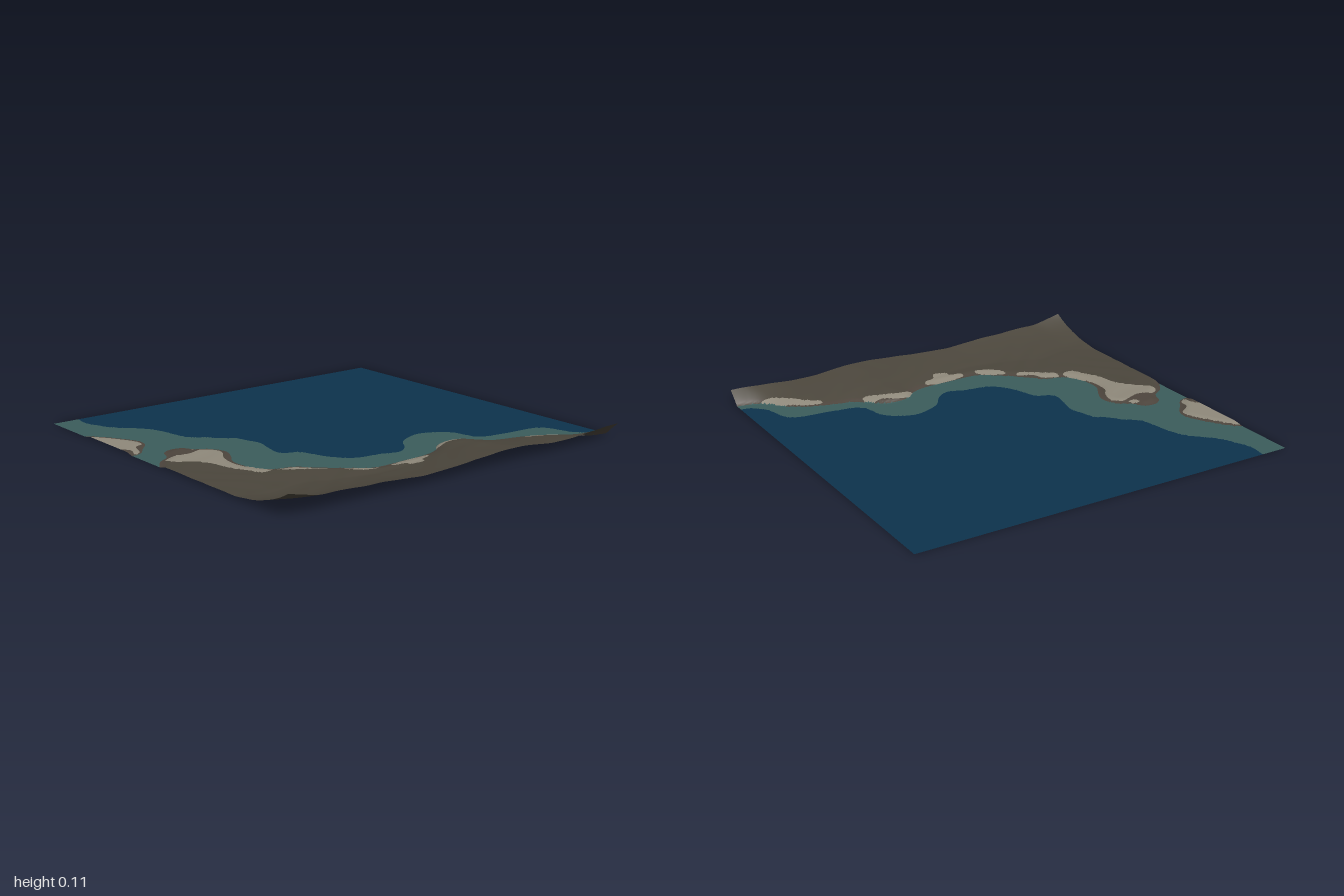
import * as THREE from 'three';

const HALF_X = 1, HALF_Z = 0.96, NX = 220, NZ = 212;

// Smooth outline through points given in hundredths of a unit (x, z pairs)
function outline(coords, closed = false) {
  const pts = [];
  for (let i = 0; i < coords.length; i += 2) pts.push(new THREE.Vector3(coords[i] / 100, 0, coords[i + 1] / 100));
  const curve = new THREE.CatmullRomCurve3(pts, closed, 'centripetal');
  const line = curve.getPoints(pts.length * 3).map((p) => [p.x, p.z]);
  return { line, area: line };
}

// Open coast whose area is closed along the borders of the sheet
function coast(coords, corners) {
  const o = outline(coords);
  return { line: o.line, area: [...o.line, ...corners] };
}

const shallowEdge = coast([
  -86, -96, -87, -87, -83, -76, -79, -69, -70, -60, -66, -51, -64, -40, -62, -33, -55, -27, -50, -21, -45, -17,
  -43, -10, -41, -3, -43, 6, -44, 17, -36, 21, -33, 29, -29, 38, -22, 45, -9, 47, 0, 50, 7, 46, 13, 38, 20, 34,
  28, 32, 37, 35, 43, 41, 47, 54, 62, 58, 80, 60, 85, 64, 89, 77, 95, 83, 100, 84,
], [[1.1, 1.1], [-1.1, 1.1], [-1.1, -1.1], [-0.86, -1.1]]);

const mainland = coast([
  -100, 1, -95, -6, -89, -10, -86, -17, -81, -20, -75, -19, -72, -14, -65, -9, -62, -1, -65, 7, -69, 14, -69, 23,
  -66, 31, -61, 36, -53, 38, -48, 43, -41, 50, -34, 56, -25, 62, -10, 62, 9, 61, 16, 58, 20, 54, 27, 52, 35, 53,
  42, 59, 47, 63, 59, 66, 68, 69, 78, 75, 85, 83, 91, 87, 100, 89,
], [[1.1, 1.1], [-1.1, 1.1], [-1.1, 0.01]]);

const island = coast(
  [-100, -66, -95, -61, -89, -52, -84, -41, -85, -35, -90, -29, -95, -23, -100, -22],
  [[-1.1, -0.22], [-1.1, -0.66]]);

const palePatches = [
  [-101, -64, -96, -59, -91, -51, -86, -41, -86, -36, -92, -32, -94, -25, -98, -23, -97, -28, -101, -34],
  [-93, -5, -88, -8, -80, -6, -74, -8, -69, -9, -65, -5, -66, 2, -70, 8, -71, 20, -68, 27, -64, 35, -64, 38,
    -70, 39, -74, 32, -78, 24, -80, 14, -85, 6, -93, -1],
  [-76, -14, -73, -14, -71, -11, -74, -11],
  [-61, 37, -53, 40, -50, 45, -43, 50, -44, 52, -50, 49, -57, 44, -61, 41],
  [-39, 55, -34, 57, -26, 63, -26, 66, -33, 64, -38, 59],
  [-18, 64, 5, 63, 4, 66, -2, 68, -4, 72, -11, 71, -12, 68, -18, 67],
  [17, 55, 27, 53, 34, 56, 40, 57, 43, 62, 40, 63, 33, 59, 25, 57, 17, 58],
  [62, 69, 68, 70, 78, 76, 87, 83, 88, 86, 83, 86, 75, 81, 68, 75, 62, 71],
].map((c) => outline(c, true));

function inside({ area }, x, z) {
  let hit = false;
  for (let i = 0, j = area.length - 1; i < area.length; j = i++) {
    const [xi, zi] = area[i], [xj, zj] = area[j];
    if ((zi > z) !== (zj > z) && x < ((xj - xi) * (z - zi)) / (zj - zi) + xi) hit = !hit;
  }
  return hit;
}

// Closest point on an outline: distance and position
function nearest({ line }, x, z) {
  let best = Infinity, bx = x, bz = z;
  for (let i = 1; i < line.length; i++) {
    const [ax, az] = line[i - 1], dx = line[i][0] - ax, dz = line[i][1] - az;
    const t = Math.min(1, Math.max(0, ((x - ax) * dx + (z - az) * dz) / (dx * dx + dz * dz || 1)));
    const px = ax + t * dx, pz = az + t * dz, d = (px - x) ** 2 + (pz - z) ** 2;
    if (d < best) { best = d; bx = px; bz = pz; }
  }
  return { d: Math.sqrt(best), x: bx, z: bz };
}

// Smooth interpolation in a short table of [x, value]
function lookup(table, x) {
  let i = 1;
  while (i < table.length - 1 && x > table[i][0]) i++;
  const [x0, v0] = table[i - 1], [x1, v1] = table[i];
  return v0 + (v1 - v0) * THREE.MathUtils.smoothstep(x, x0, x1);
}

const frontHeight = [[-1.1, 0.125], [-0.8, 0.073], [-0.52, 0.062], [-0.25, 0.045], [0.28, 0.07], [0.6, 0.048], [1, 0.065]];
const slopePower = [[-1, 4], [-0.6, 2.2], [-0.2, 1.2], [0.27, 0.5], [0.6, 0.8], [1, 0.9]];

// Flat water, low shore step, then hills rising to the front border
function height(x, z) {
  const step = (d) => THREE.MathUtils.smoothstep(d, 0, 0.05);
  if (inside(mainland, x, z)) {
    const { d } = nearest(mainland, x, z);
    const t = d / (d + HALF_Z - z + 1e-6);
    const bumps = 0.0012 * Math.sin(23 * x + 3 * Math.sin(9 * z)) * Math.sin(19 * z + 2 * Math.sin(11 * x));
    const hill = lookup(frontHeight, x) * t ** lookup(slopePower, x);
    return Math.max(hill, 0.01 * step(d)) + bumps * step(d / 2);
  }
  if (inside(island, x, z)) return 0.009 * step(nearest(island, x, z).d);
  return 0;
}

function regionAt(x, z) {
  if (!inside(shallowEdge, x, z)) return 'deepWater';
  const land = inside(mainland, x, z);
  if (!land && !inside(island, x, z)) return 'shallows';
  if (palePatches.some((p) => inside(p, x, z))) return 'paleRock';
  if (!land || z < -0.06 || nearest(mainland, x, z).d < 0.028) return 'shoreRock';
  return 'hills';
}

export function createModel() {
  const group = new THREE.Group();
  group.name = 'coastalTerrain';
  const colors = {
    deepWater: 0x0d334d, shallows: 0x3b5d5c, shoreRock: 0x4d453d, paleRock: 0x8f897b, hills: 0x4b463c,
  };

  // Grid points, pulled onto nearby outlines so the colour borders stay clean
  const outlines = [shallowEdge, mainland, island, ...palePatches];
  const cell = (2 * HALF_X) / NX;
  const positions = [];
  for (let j = 0; j <= NZ; j++) {
    for (let i = 0; i <= NX; i++) {
      let x = -HALF_X + i * cell, z = -HALF_Z + (2 * HALF_Z * j) / NZ;
      if (i > 0 && i < NX && j > 0 && j < NZ) {
        let snap = { d: cell * 0.5, x, z };
        for (const o of outlines) {
          const n = nearest(o, x, z);
          if (n.d < snap.d) snap = n;
        }
        x = snap.x;
        z = snap.z;
      }
      positions.push(x, height(x, z), z);
    }
  }

  // Sort the triangles by region
  const indices = Object.fromEntries(Object.keys(colors).map((k) => [k, []]));
  const all = [];
  const addTriangle = (...t) => {
    const x = t.reduce((s, v) => s + positions[v * 3], 0) / 3;
    const z = t.reduce((s, v) => s + positions[v * 3 + 2], 0) / 3;
    indices[regionAt(x, z)].push(...t);
    all.push(...t);
  };
  for (let j = 0; j < NZ; j++) {
    for (let i = 0; i < NX; i++) {
      const a = j * (NX + 1) + i, b = a + 1, c = a + NX + 1, d = c + 1;
      addTriangle(a, c, b);
      addTriangle(b, c, d);
    }
  }

  // One smooth sheet, shared by a mesh for each region
  const sheet = new THREE.BufferGeometry();
  sheet.setAttribute('position', new THREE.Float32BufferAttribute(positions, 3));
  sheet.setIndex(all);
  sheet.computeVertexNormals();
  for (const [name, color] of Object.entries(colors)) {
    const geometry = new THREE.BufferGeometry();
    geometry.setAttribute('position', sheet.getAttribute('position'));
    geometry.setAttribute('normal', sheet.getAttribute('normal'));
    geometry.setIndex(indices[name]);
    const material = new THREE.MeshStandardMaterial({ color, side: THREE.DoubleSide });
    material.name = name + 'Colour';
    const mesh = new THREE.Mesh(geometry, material);
    mesh.name = name;
    group.add(mesh);
  }
  return group;
}
